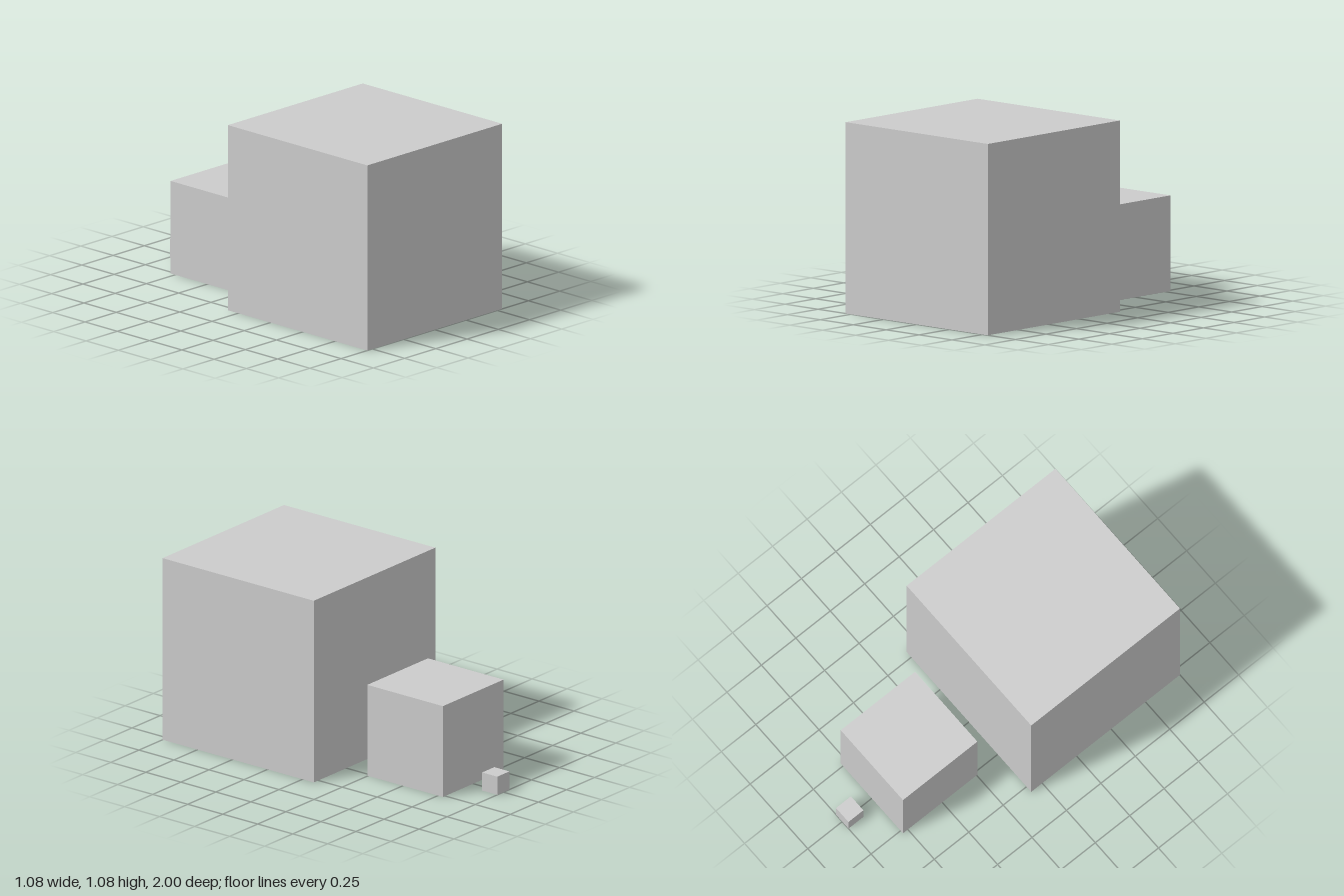
import * as THREE from 'three';

export function createModel() {
  const group = new THREE.Group();
  const material = new THREE.MeshStandardMaterial({ color: 0xcccccc, flatShading: true });

  // Three cubes standing in a row on the ground, largest at the front
  const cubes = [
    { name: 'largeCube', size: 1.08, z: 0.46 },
    { name: 'mediumCube', size: 0.54, z: -0.515 },
    { name: 'smallCube', size: 0.108, z: -0.946 },
  ];
  for (const { name, size, z } of cubes) {
    const cube = new THREE.Mesh(new THREE.BoxGeometry(size, size, size), material);
    cube.name = name;
    cube.position.set(0, size / 2, z);
    group.add(cube);
  }
  return group;
}
